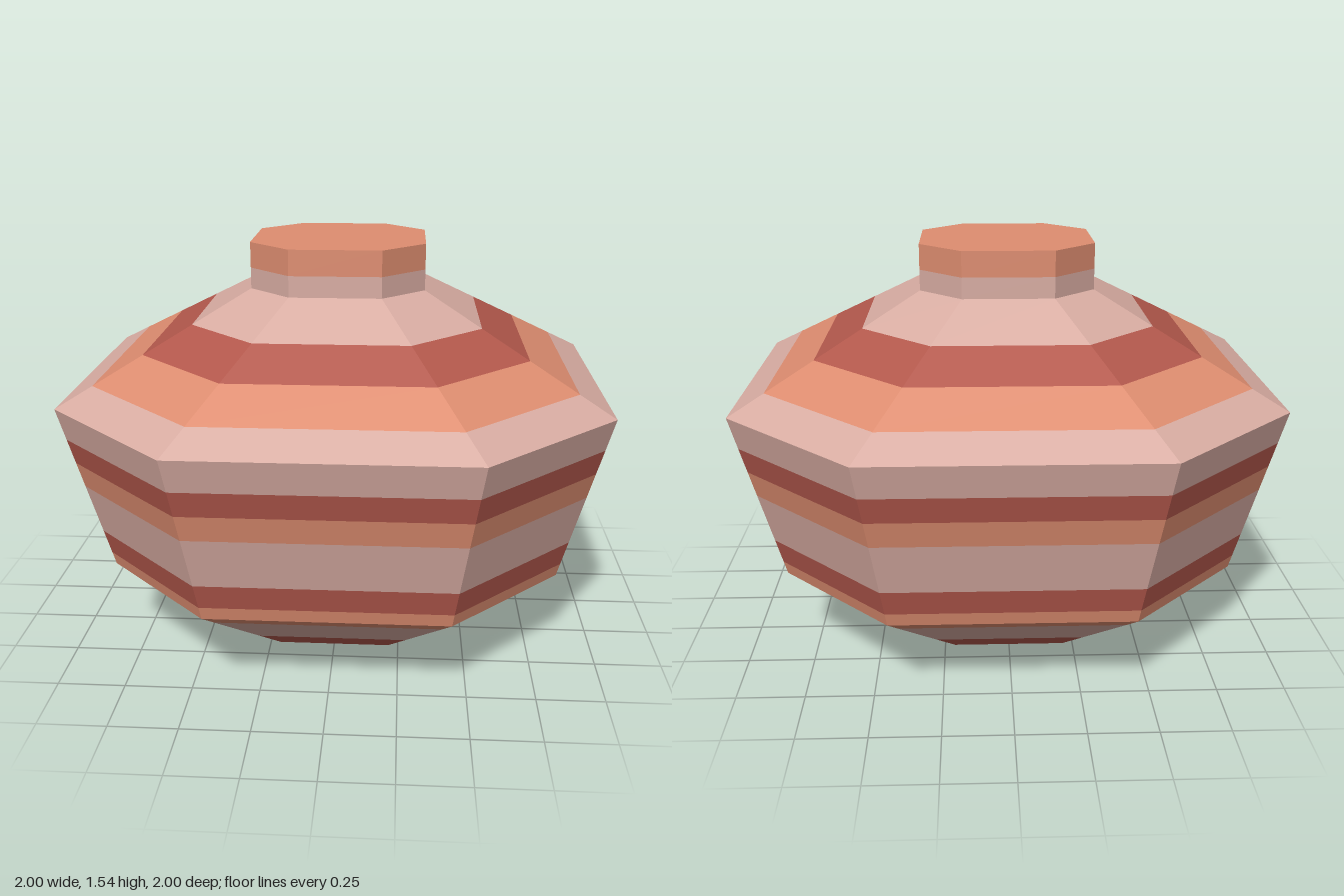
import * as THREE from 'three';

const material = (name, color) => Object.assign(new THREE.MeshStandardMaterial({ color, flatShading: true }), { name });

// Slightly uneven octagon: four wide faces and four diagonal ones
const K = 0.517;
const CORNERS = [[1, K], [K, 1], [-K, 1], [-1, K], [-1, -K], [-K, -1], [K, -1], [1, -K]];

// Profile as [height, half width]
const PROFILE = [[0, 0.41], [0.34, 0.84], [0.99, 1], [1.367, 0.325], [1.54, 0.325]];

function halfWidth(y) {
  let i = 0;
  while (i < PROFILE.length - 2 && y > PROFILE[i + 1][0]) i++;
  const [y0, r0] = PROFILE[i], [y1, r1] = PROFILE[i + 1];
  return THREE.MathUtils.mapLinear(y, y0, y1, r0, r1);
}

// Ring of eight flat faces between two heights
function bandGeometry(y0, y1) {
  const r0 = halfWidth(y0), r1 = halfWidth(y1), points = [];
  CORNERS.forEach(([x, z], i) => {
    const [u, w] = CORNERS[(i + 1) % 8];
    const a = [x * r0, y0, z * r0], b = [u * r0, y0, w * r0];
    const c = [x * r1, y1, z * r1], d = [u * r1, y1, w * r1];
    points.push(...a, ...c, ...b, ...b, ...c, ...d);
  });
  const geometry = new THREE.BufferGeometry();
  geometry.setAttribute('position', new THREE.Float32BufferAttribute(points, 3));
  geometry.computeVertexNormals();
  return geometry;
}

// Flat octagon closing an end
function capGeometry(y, facing) {
  const r = halfWidth(y);
  const shape = new THREE.Shape(CORNERS.map(([x, z]) => new THREE.Vector2(x * r, z * r)));
  return new THREE.ShapeGeometry(shape).rotateX(-facing * Math.PI / 2).translate(0, y, 0);
}

export function createModel() {
  const pink = material('pale pink clay', 0xd8aca2);
  const red = material('red clay', 0xb3584c);
  const orange = material('orange clay', 0xde8d70);

  const model = new THREE.Group();
  model.name = 'stripedJar';
  const add = (parent, name, geometry, mat) => {
    const mesh = new THREE.Mesh(geometry, mat);
    mesh.name = name;
    parent.add(mesh);
  };

  // Each part: start height, then stripes as [top height, colour]
  const parts = {
    foot: [0, [0.1, red], [0.292, pink], [0.34, orange]],
    body: [0.34, [0.39, orange], [0.485, red], [0.677, pink], [0.774, orange], [0.869, red], [0.99, pink]],
    shoulder: [0.99, [1.06, pink], [1.155, orange], [1.25, red], [1.367, pink]],
    neck: [1.367, [1.445, pink], [1.54, orange]],
  };
  for (const [name, [start, ...stripes]] of Object.entries(parts)) {
    const group = new THREE.Group();
    group.name = name;
    let y = start;
    stripes.forEach(([top, mat], i) => {
      add(group, `${name}Stripe${i + 1}`, bandGeometry(y, top), mat);
      y = top;
    });
    model.add(group);
  }

  // Closed ends
  add(model, 'base', capGeometry(0, -1), orange);
  add(model, 'lidTop', capGeometry(1.54, 1), orange);
  return model;
}
